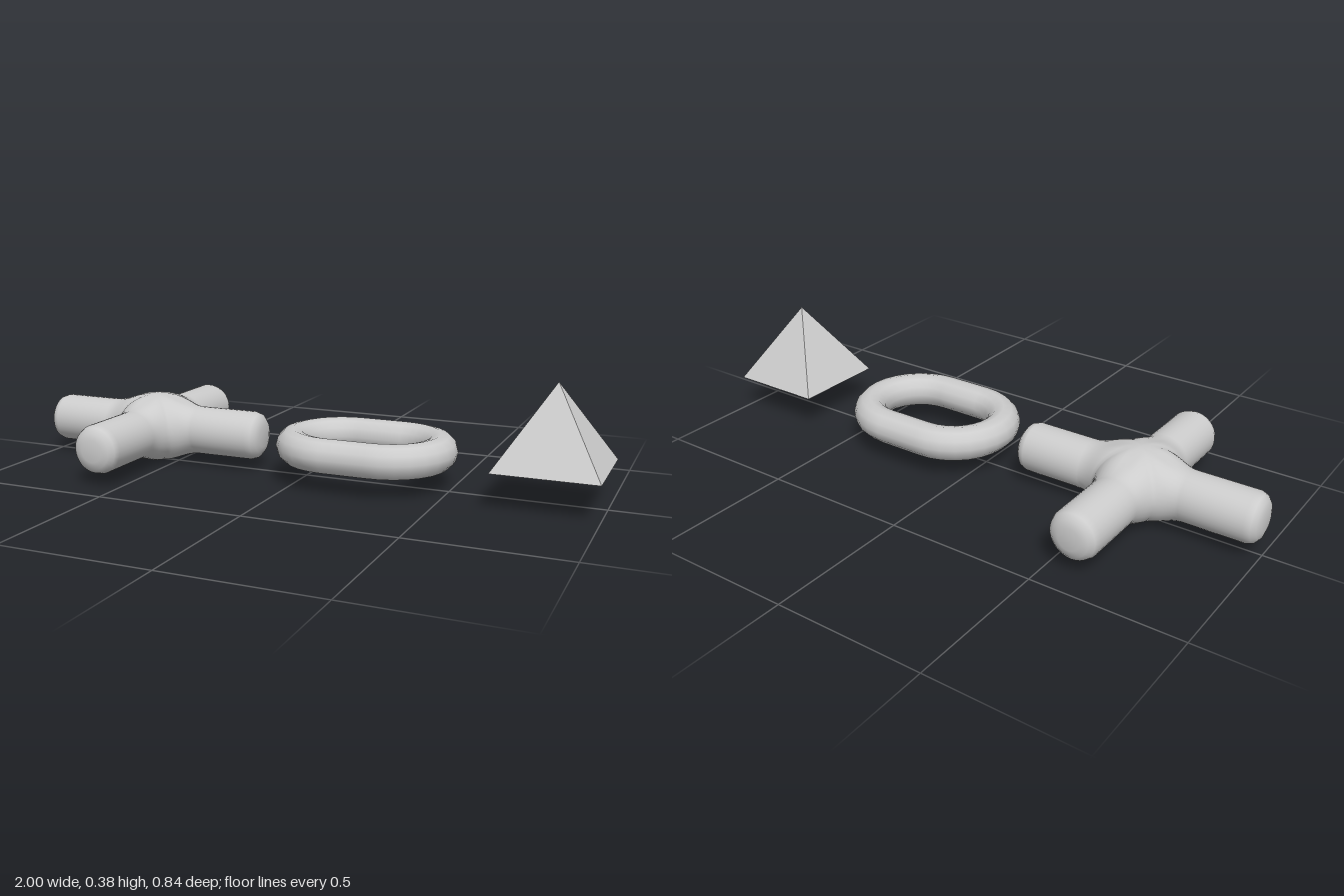
import * as THREE from 'three';
import { mergeGeometries, mergeVertices } from 'three/addons/utils/BufferGeometryUtils.js';

const MID_Y = 0.12;
const lerp = THREE.MathUtils.lerp;

// One arm along +x, starting at the diagonal seams it shares with its neighbours
function armGeometry() {
  const sides = 32, steps = 8, radius = 0.083, crotch = 0.106, bulge = 0.12, blendEnd = 0.175;
  const tip = [[0.38, 0.083], [0.4, 0.076], [0.413, 0.06], [0.42, 0.037], [0.42, 0]];
  const pos = [], index = [];
  const rings = steps + 1 + tip.length;
  for (let i = 0; i < rings; i++) {
    for (let j = 0; j <= sides; j++) {
      const a = (j / sides) * Math.PI * 2, c = Math.cos(a), s = Math.sin(a);
      if (i <= steps) {
        const t = i / steps;
        const d = lerp(crotch * Math.abs(c), blendEnd, t);
        const width = lerp(crotch, radius, 1 - (1 - t) ** 2);
        const height = lerp(bulge, radius, t * t * (3 - 2 * t));
        pos.push(d, height * s, width * c);
      } else {
        const [d, r] = tip[i - steps - 1];
        pos.push(d, r * s, r * c);
      }
    }
  }
  const row = sides + 1;
  for (let i = 0; i < rings - 1; i++) {
    for (let j = 0; j < sides; j++) {
      const p = i * row + j;
      index.push(p, p + row, p + 1);
      if (i < rings - 2) index.push(p + 1, p + row, p + row + 1);
    }
  }
  const g = new THREE.BufferGeometry();
  g.setAttribute('position', new THREE.Float32BufferAttribute(pos, 3));
  g.setIndex(index);
  return g;
}

// Closed path of two half circles joined by straight runs
class LinkCurve extends THREE.Curve {
  constructor(half, radius) {
    super();
    this.half = half;
    this.radius = radius;
  }
  getPoint(t, target = new THREE.Vector3()) {
    const { half, radius } = this;
    const straight = 2 * half, arc = Math.PI * radius;
    let s = (t % 1) * 2 * (straight + arc);
    const flip = s >= straight + arc ? -1 : 1;
    if (flip < 0) s -= straight + arc;
    if (s < straight) return target.set(flip * (s - half), 0, flip * radius);
    const a = (s - straight) / radius;
    return target.set(flip * (half + radius * Math.sin(a)), 0, flip * radius * Math.cos(a));
  }
}

export function createModel() {
  const group = new THREE.Group();
  const grey = new THREE.MeshStandardMaterial({ color: 0xcccccc });
  grey.name = 'light grey';

  const add = (name, geometry, x, y) => {
    const mesh = new THREE.Mesh(geometry, grey);
    mesh.name = name;
    mesh.position.set(x, y, 0);
    group.add(mesh);
  };

  // Four-armed cross with a swollen, blended centre
  const arms = [0, 1, 2, 3].map((k) => armGeometry().rotateY((k * Math.PI) / 2));
  const cross = mergeVertices(mergeGeometries(arms), 1e-4);
  cross.computeVertexNormals();
  add('cross', cross, -0.58, MID_Y);

  // Oval chain link
  add('link', new THREE.TubeGeometry(new LinkCurve(0.08, 0.168), 36, 0.058, 12, true), 0.213, MID_Y);

  // Square pyramid with crisp faces
  const height = 0.265;
  const pyramid = new THREE.ConeGeometry(0.167 * Math.SQRT2, height, 4).rotateY(Math.PI / 4).toNonIndexed();
  pyramid.computeVertexNormals();
  add('pyramid', pyramid, 0.833, MID_Y + height / 2);

  return group;
}
